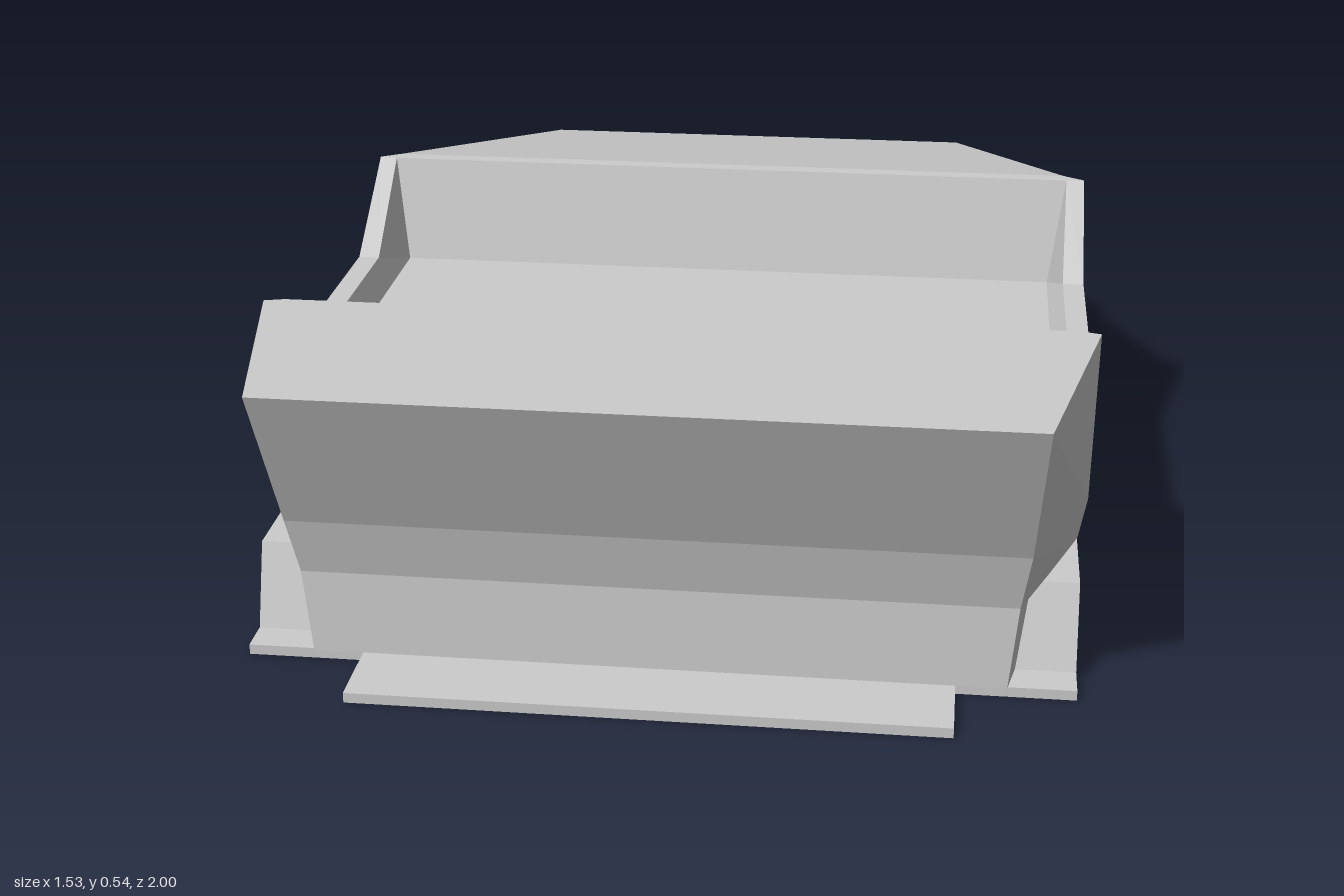
import * as THREE from 'three';

const material = new THREE.MeshStandardMaterial({ color: 0xcccccc, flatShading: true, side: THREE.DoubleSide });

// Flat polygons, each fanned into triangles
function panels(name, polys) {
  const pos = [];
  for (const p of polys)
    for (let i = 1; i < p.length - 1; i++) pos.push(...p[0], ...p[i], ...p[i + 1]);
  const g = new THREE.BufferGeometry();
  g.setAttribute('position', new THREE.Float32BufferAttribute(pos, 3));
  g.computeVertexNormals();
  const m = new THREE.Mesh(g, material);
  m.name = name;
  return m;
}

const flip = ([x, y, z]) => [-x, y, z];
const mirrored = (polys) => [...polys, ...polys.map((p) => p.map(flip).reverse())];
// Panel spanning the body from an edge on the left to its mirror on the right
const across = (a, b) => [a, flip(a), flip(b), b];

// Thin plate lying flat, outlined by its left half in (x, z)
function floorPan(half) {
  const outline = [...half, ...half.map(([x, z]) => [-x, z]).reverse()];
  const shape = new THREE.Shape(outline.map(([x, z]) => new THREE.Vector2(x, -z)));
  const g = new THREE.ExtrudeGeometry(shape, { depth: 0.018, bevelEnabled: false });
  g.rotateX(-Math.PI / 2);
  const m = new THREE.Mesh(g, material);
  m.name = 'floorPan';
  return m;
}

// Wheel arch: folded strip from a (z, y) outline, with a wall closing its inner end
function wheelArch(name, side, inner, outer, x1) {
  const x0 = 0.5;
  const v = ([z, y]) => new THREE.Vector2(-z, y);
  const g = new THREE.ExtrudeGeometry(new THREE.Shape([...outer, ...[...inner].reverse()].map(v)),
    { depth: x1 - x0, bevelEnabled: false });
  g.rotateY(Math.PI / 2);
  g.translate(side > 0 ? x0 : -x1, 0, 0);
  const group = new THREE.Group();
  group.name = name;
  const strip = new THREE.Mesh(g, material);
  strip.name = 'archStrip';
  group.add(strip, panels('archInnerWall', [inner.map(([z, y]) => [side * x0, y, z])]));
  return group;
}

export function createModel() {
  const model = new THREE.Group();
  model.name = 'carBody';

  // Upper edge of the side, from the +z deck to the hood
  const A = [0.63, 0.54, 1], B = [0.72, 0.54, 0.58], C = [0.72, 0.395, 0.36];
  const D = [0.72, 0.395, -0.05], E = [0.72, 0.54, -0.26], F = [0.68, 0.54, -0.285];
  // Lower points of the side
  const A1 = [0.615, 0.27, 0.885], A2 = [0.6, 0.165, 0.86], A3 = [0.585, 0.018, 0.865];
  const B1 = [0.715, 0.235, 0.58], B2 = [0.7, 0.155, 0.58], B3 = [0.7, 0.155, 0.435];
  const C1 = [0.72, 0.145, 0.36], C0 = [0.7, 0, 0.39];
  const D1 = [0.72, 0.145, -0.05], D0 = [0.7, 0, -0.295], E1 = [0.71, 0.15, -0.325];
  // Cockpit rim and floor
  const Bi = [0.685, 0.54, 0.57], Ci = [0.68, 0.395, 0.36], Di = [0.68, 0.395, -0.05];
  const Ei = [0.685, 0.54, -0.255], G = [0.655, 0.34, 0.4], H = [0.655, 0.34, -0.205];
  // Hood nose
  const N = [0.46, 0.41, -0.92], N0 = [0.46, 0.018, -0.92], F0 = [0.68, 0.018, -0.285];

  model.add(
    panels('sidePanels', mirrored([
      [A, A1, B1, B],
      [A1, A2, B2, B1],
      [A2, A3, [0.6, 0.018, 0.79], [0.62, 0.16, 0.75]],
      [A2, [0.62, 0.16, 0.75], B2],
      [B, B1, B2, B3, C1, C],
      [D, D1, E1, E],
    ])),
    panels('doors', mirrored([[C, C1, D1, D]])),
    panels('sills', mirrored([[C1, C0, D0, D1], [B3, C0, C1], [D1, D0, E1]])),
    panels('pillars', mirrored([[E, E1, [0.68, 0.15, -0.325], F]])),
    panels('deck', [across(A, B), across(B, Bi)]),
    panels('tailPanels', [across(A, A1), across(A1, A2), across(A2, A3)]),
    panels('cowl', [across(Ei, E), across(E, F)]),
    panels('hood', [across(F, N), across(N, N0), ...mirrored([[F, F0, N0, N]])]),
    panels('cockpit', [
      across(Bi, G), across(G, H), across(H, Ei),
      ...mirrored([[Ci, Di, H, G], [Bi, Ci, G], [Di, Ei, H]]),
    ]),
    panels('cockpitRim', mirrored([[B, C, Ci, Bi], [C, D, Di, Ci], [D, E, Ei, Di]])),
    floorPan([
      [0.5, 1], [0.5, 0.86], [0.7, 0.86], [0.7, 0.79], [0.5, 0.79], [0.5, 0.39], [0.7, 0.39],
      [0.7, -0.295], [0.5, -0.295], [0.5, -0.72], [0.69, -0.72], [0.69, -0.875], [0.5, -0.915], [0.5, -0.98],
    ]),
  );

  // Wheel arches
  for (const s of [1, -1]) {
    const label = s > 0 ? 'left' : 'right';
    model.add(
      wheelArch(label + 'DeckWheelArch', s,
        [[0.39, 0], [0.44, 0.145], [0.74, 0.145], [0.79, 0]],
        [[0.375, 0], [0.43, 0.16], [0.75, 0.16], [0.805, 0]], 0.7),
      wheelArch(label + 'HoodWheelArch', s,
        [[-0.72, 0], [-0.68, 0.142], [-0.335, 0.142], [-0.3, 0]],
        [[-0.735, 0], [-0.69, 0.157], [-0.325, 0.157], [-0.285, 0]], 0.69),
    );
  }

  // Bumper: four-cornered sections [x, outer z, inner z, bottom, top], swept back at the tips
  const half = [[0.765, -0.895, -0.86, 0.04, 0.108], [0.64, -0.972, -0.94, 0.025, 0.165], [0.5, -1, -0.967, 0, 0.19]];
  const stations = [...half, ...half.map(([x, ...r]) => [-x, ...r]).reverse()];
  const rings = stations.map(([x, zo, zi, b, t]) => [[x, b, zo], [x, t, zo], [x, t, zi], [x, b, zi]]);
  const skin = [rings[0], [...rings[rings.length - 1]].reverse()];
  for (let i = 0; i < rings.length - 1; i++)
    for (let k = 0; k < 4; k++) {
      const n = (k + 1) % 4;
      skin.push([rings[i][k], rings[i + 1][k], rings[i + 1][n], rings[i][n]]);
    }
  model.add(panels('bumper', skin));
  return model;
}
